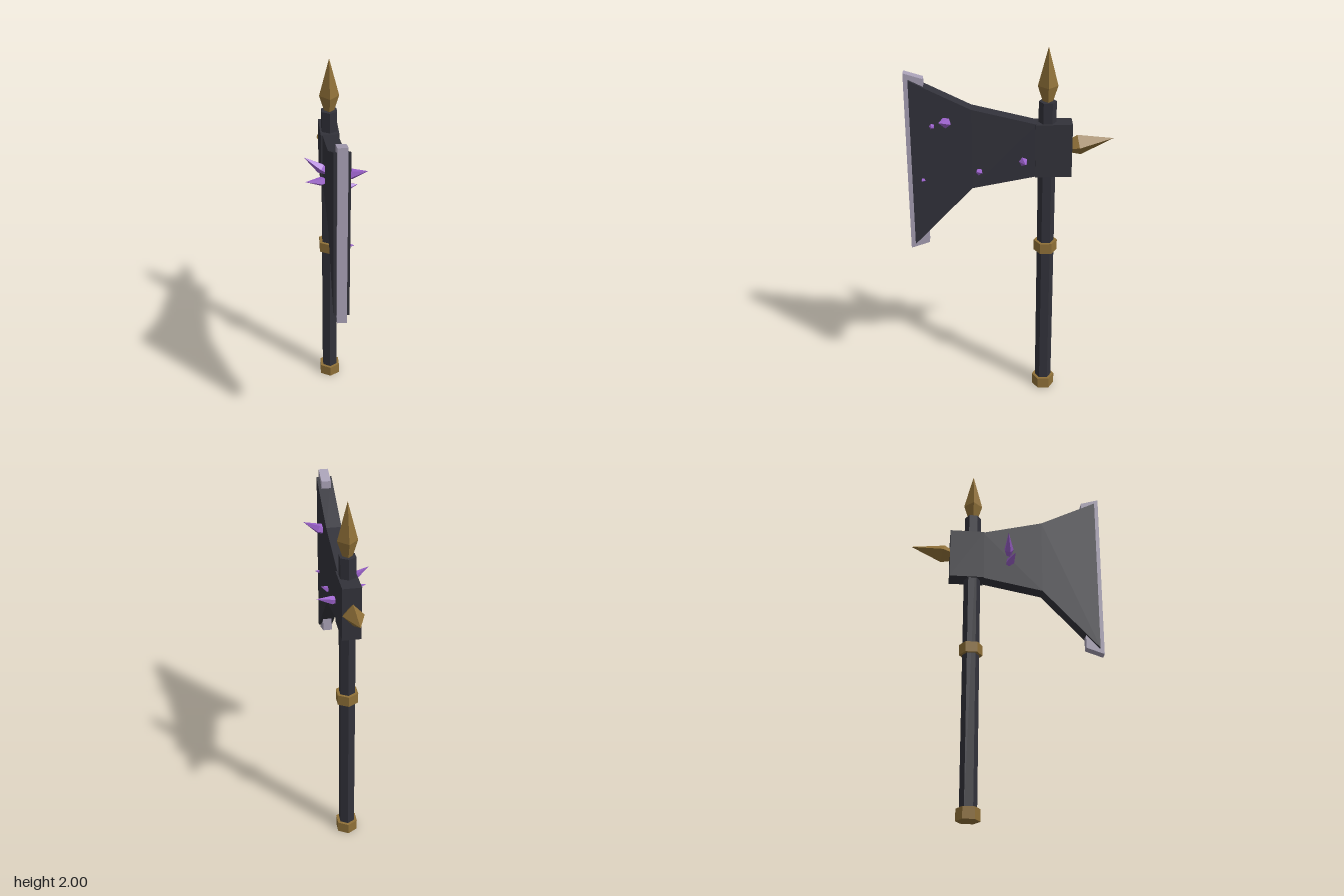
import * as THREE from 'three';

const mat = (name, color) => {
  const m = new THREE.MeshStandardMaterial({ color, flatShading: true });
  m.name = name;
  return m;
};

export function createModel() {
  const dark = mat('dark iron', 0x32323a);
  const gold = mat('old gold', 0x8f7038);
  const steel = mat('pale steel', 0xa8a0b5);
  const purple = mat('purple crystal', 0x9c62cc);
  const group = new THREE.Group();
  const CX = 0.003, CZ = -0.185;

  const add = (name, geometry, material, x = 0, y = 0, z = 0) => {
    const mesh = new THREE.Mesh(geometry, material);
    mesh.name = name;
    mesh.position.set(x, y, z);
    group.add(mesh);
    return mesh;
  };

  // Upright hexagonal bar between two heights
  const hexBar = (name, r, y0, y1, material) =>
    add(name, new THREE.CylinderGeometry(r, r, y1 - y0, 6), material, CX, (y0 + y1) / 2, CZ);

  // Slab cut from a side profile of [z, y] points, centred across x
  const slab = (name, points, thickness, material) => {
    const shape = new THREE.Shape(points.map(([z, y]) => new THREE.Vector2(-z, y)));
    const geo = new THREE.ExtrudeGeometry(shape, { depth: thickness, bevelEnabled: false });
    geo.translate(0, 0, -thickness / 2).rotateY(Math.PI / 2);
    return add(name, geo, material, CX);
  };

  // Faceted spike: narrow foot, wide shoulder, sharp tip, aimed from base to tip
  const spike = (name, base, tip, radius, shoulder, sides, material) => {
    const from = new THREE.Vector3(...base);
    const dir = new THREE.Vector3(...tip).sub(from);
    const len = dir.length();
    const profile = [[0, 0], [radius * 0.5, 0], [radius, len * shoulder], [0, len]]
      .map(([r, y]) => new THREE.Vector2(r, y));
    const mesh = add(name, new THREE.LatheGeometry(profile, sides), material, ...base);
    mesh.quaternion.setFromUnitVectors(new THREE.Vector3(0, 1, 0), dir.normalize());
  };

  // Shaft and its bands
  hexBar('shaft', 0.045, 0.01, 1.722, dark);
  hexBar('pommelBand', 0.062, 0, 0.062, gold);
  hexBar('gripBand', 0.062, 0.882, 0.94, gold);

  // Head
  add('headBlock', new THREE.BoxGeometry(0.096, 0.284, 0.186), dark, CX, 1.47, -0.217);
  slab('blade', [[-0.13, 1.612], [0.197, 1.693], [0.503, 1.845], [0.503, 0.942],
    [0.197, 1.266], [-0.13, 1.329]], 0.079, dark);
  slab('cuttingEdge', [[0.43, 1.848], [0.527, 1.878], [0.527, 0.912], [0.43, 0.945]],
    0.049, steel);

  // Gold spikes
  spike('topSpike', [CX, 1.72, CZ], [CX, 2, CZ], 0.051, 0.29, 4, gold);
  spike('backSpike', [CX, 1.474, -0.28], [CX, 1.521, -0.523], 0.054, 0.28, 4, gold);

  // Crystal shards growing from both blade faces: base, tip, radius
  [
    [[0.03, 1.413, -0.06], [0.139, 1.436, -0.071], 0.023],
    [[0.03, 1.622, 0.312], [0.138, 1.662, 0.355], 0.028],
    [[0.03, 1.354, 0.158], [0.078, 1.372, 0.172], 0.019],
    [[0.03, 1.605, 0.394], [0.087, 1.617, 0.392], 0.015],
    [[0.03, 1.314, 0.445], [0.068, 1.318, 0.454], 0.011],
    [[-0.025, 1.476, 0.014], [-0.14, 1.557, 0.002], 0.027],
    [[-0.025, 1.422, 0.01], [-0.137, 1.437, 0.04], 0.024],
  ].forEach(([base, tip, r], i) => spike(`crystal${i + 1}`, base, tip, r, 0.27, 5, purple));

  return group;
}
